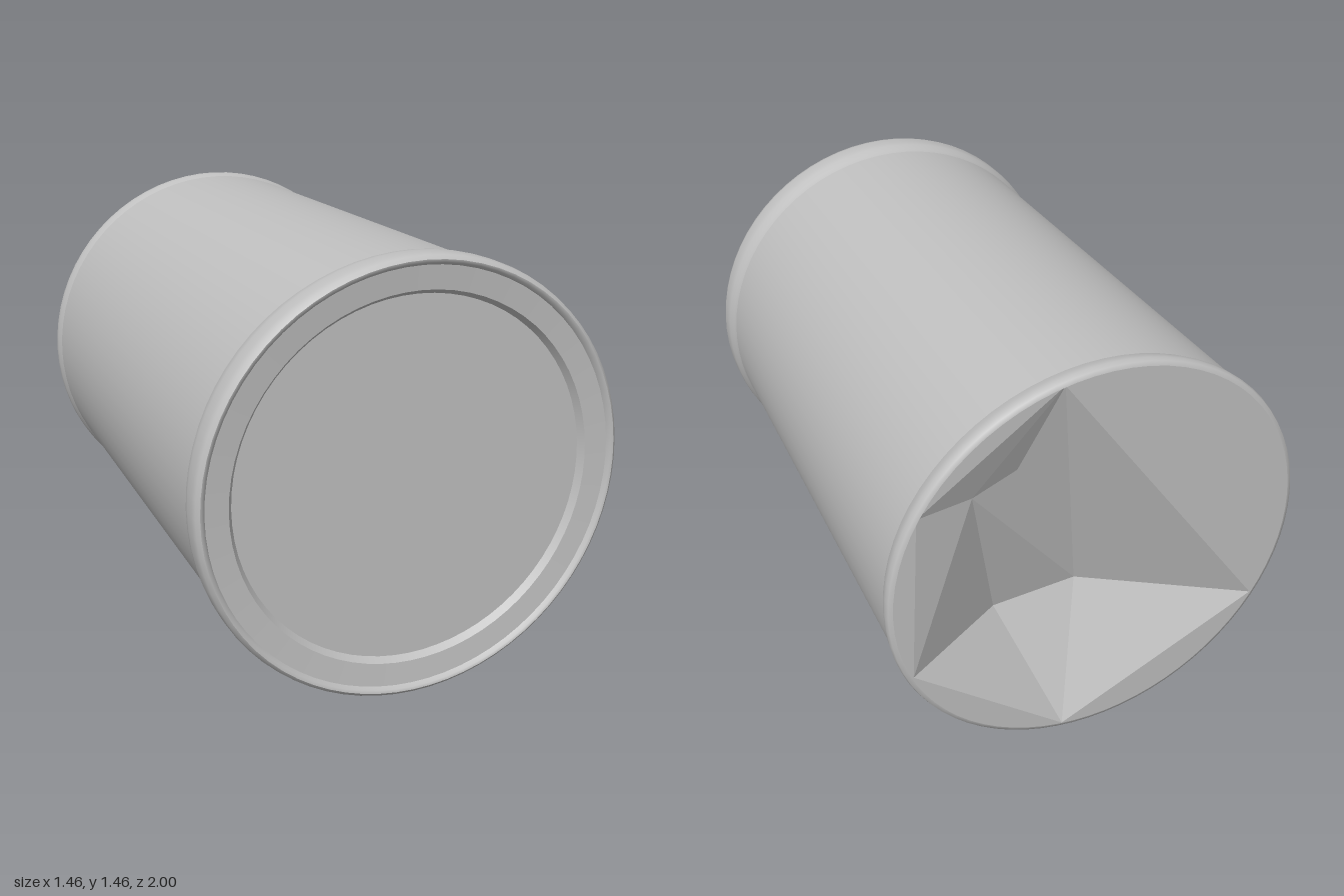
import * as THREE from 'three';

const CENTRE_Y = 0.73;

// The can leans very slightly: the back end sits a touch higher and to the right.
function place(geometry) {
  const p = geometry.attributes.position;
  for (let i = 0; i < p.count; i++) {
    const t = (1 - p.getZ(i)) / 2;
    p.setXY(i, p.getX(i) - 0.01 * t, p.getY(i) + CENTRE_Y + 0.012 * t);
  }
  return geometry;
}

// Surface of revolution about z from [radius, z] pairs.
function lathe(profile) {
  const g = new THREE.LatheGeometry(profile.map(([r, z]) => new THREE.Vector2(r, z)), 72);
  return place(g.rotateX(Math.PI / 2));
}

export function createModel() {
  const model = new THREE.Group();
  const metal = new THREE.MeshStandardMaterial({ color: 0xbfbfbf, side: THREE.DoubleSide });
  metal.name = 'plain grey';

  function add(name, geometry) {
    const mesh = new THREE.Mesh(geometry, metal);
    mesh.name = name;
    model.add(mesh);
  }

  // Side wall and its two rolled rims
  add('wall', lathe([[0.708, -0.94], [0.708, -0.4], [0.708, 0.3], [0.708, 0.87]]));
  add('backRim', lathe([[0.7, -1], [0.714, -0.995], [0.719, -0.98], [0.717, -0.96], [0.708, -0.935]]));
  add('frontRim', lathe([[0.708, 0.865], [0.713, 0.885], [0.724, 0.905], [0.727, 0.93], [0.727, 0.97],
    [0.722, 0.99], [0.71, 1]]));

  // Front end: rim lip, shallow sloping ring, step and recessed lid
  add('frontLip', lathe([[0.71, 1], [0.7, 0.998], [0.692, 0.985]]));
  add('frontRing', lathe([[0.692, 0.985], [0.615, 0.978]]));
  add('lidStep', lathe([[0.615, 0.978], [0.6, 0.955]]));
  add('lid', lathe([[0.6, 0.955], [0, 0.957]]));

  // Corners of the dented back: five on the rim, four sunk inwards
  const backZ = -0.995;
  const rim = [[0.152, 0.685], [0.615, 0.345], [0.64, -0.27], [0.106, -0.695], [-0.61, -0.345]];
  const dent = [[0.26, 0.37, 0.08], [0.42, 0.33, 0.05], [0.28, -0.26, 0.2], [-0.02, -0.235, 0.2]];
  const corners = [
    ...rim.map(([x, y]) => [x, y, backZ]),
    ...dent.map(([x, y, depth]) => [x, y, backZ + depth]),
  ];
  const faces = [
    [0, 5, 6], [0, 6, 1], [1, 6, 2], [6, 7, 2], [6, 5, 8], [6, 8, 7],
    [2, 7, 3], [7, 8, 3], [8, 4, 3], [5, 0, 8], [8, 0, 4],
  ];
  const positions = [];
  for (const face of faces) {
    const [a, b, c] = face.map((i) => new THREE.Vector3(...corners[i]));
    // Turn every facet so it faces the back
    const turn = (b.x - a.x) * (c.y - a.y) - (b.y - a.y) * (c.x - a.x);
    for (const v of turn < 0 ? [a, b, c] : [a, c, b]) positions.push(v.x, v.y, v.z);
  }
  const dentGeometry = new THREE.BufferGeometry();
  dentGeometry.setAttribute('position', new THREE.Float32BufferAttribute(positions, 3));
  dentGeometry.computeVertexNormals();
  add('backDent', place(dentGeometry));

  // Flat remainder of the back, mirrored in x because it is turned round
  const disc = new THREE.Shape().absarc(0, 0, 0.71, 0, Math.PI * 2);
  disc.holes.push(new THREE.Path(rim.map(([x, y]) => new THREE.Vector2(-x, y))));
  const flat = new THREE.ShapeGeometry(disc, 72).rotateY(Math.PI).translate(0, 0, backZ);
  add('backPanel', place(flat));

  return model;
}
